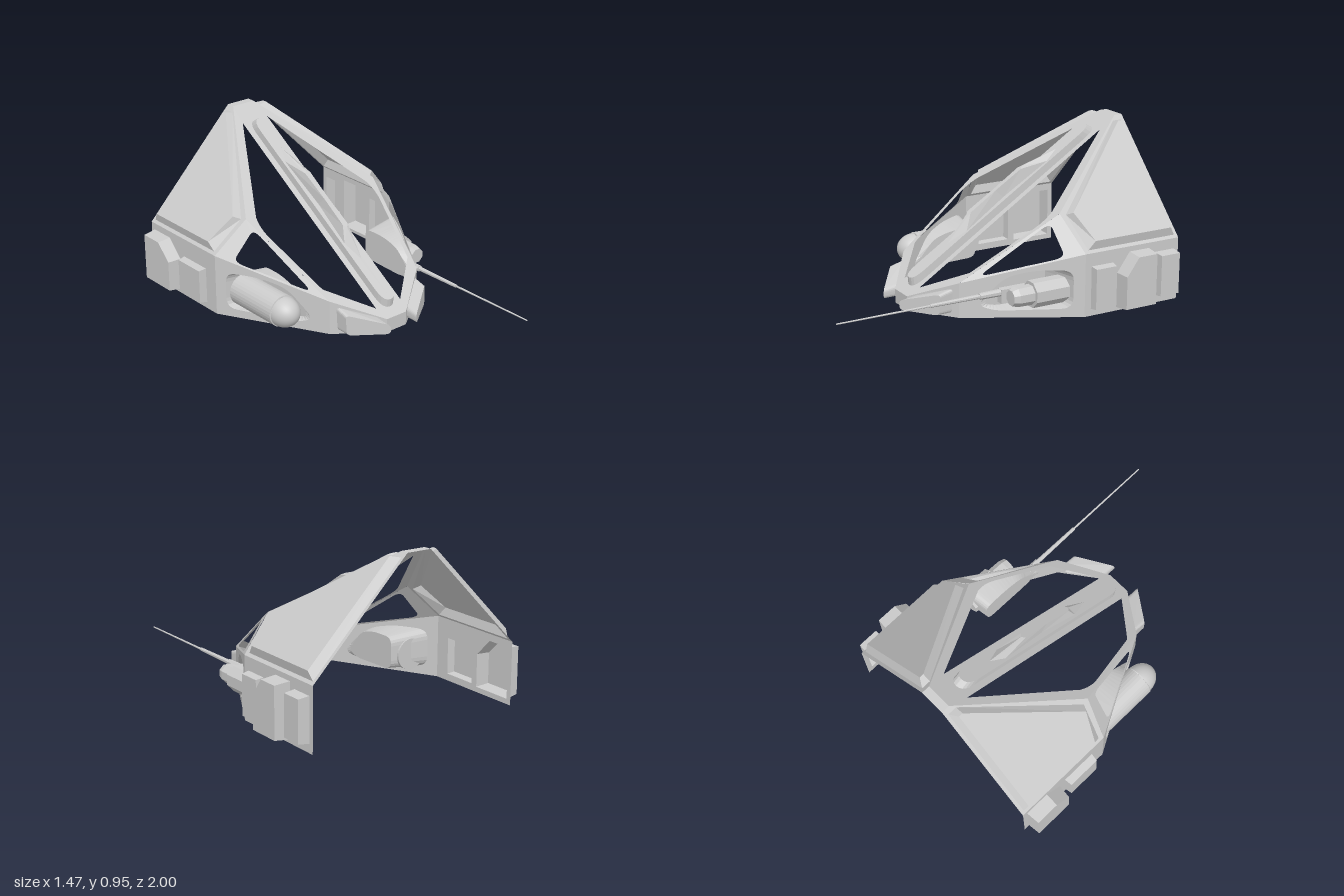
import * as THREE from 'three';

const material = new THREE.MeshStandardMaterial({ color: 0xcccccc, side: THREE.DoubleSide });
const V = (x, y, z) => new THREE.Vector3(x, y, z);

function addMesh(parent, name, geometry) {
  const mesh = new THREE.Mesh(geometry, material);
  mesh.name = name;
  parent.add(mesh);
  return mesh;
}

// Outline with every corner cut back by r and curved
function rounded(points, r, steps = 5) {
  const out = [];
  points.forEach((p, i) => {
    const c = new THREE.Vector2(...p);
    const toward = (q) => {
      const d = new THREE.Vector2(...q).sub(c);
      return c.clone().addScaledVector(d.normalize(), Math.min(r, new THREE.Vector2(...q).distanceTo(c) * 0.48));
    };
    const a = toward(points[(i + points.length - 1) % points.length]);
    const b = toward(points[(i + 1) % points.length]);
    const curve = new THREE.QuadraticBezierCurve(a, c, b);
    out.push(...curve.getPoints(steps).map((v) => [v.x, v.y]));
  });
  return out;
}

// Plane through three points, addressed by two world axes plus height along its outward normal
function facet(a, b, c, axes, side = 1) {
  const n = b.clone().sub(a).cross(c.clone().sub(a)).normalize();
  if (n.dot(a.clone().sub(V(0, 0.1, -0.4))) < 0) n.negate();
  const third = ['x', 'y', 'z'].find((k) => !axes.includes(k));
  const d = n.dot(a);
  return (p, q, h = 0) => {
    const v = V(0, 0, 0);
    v[axes[0]] = p;
    v[axes[1]] = q;
    v[third] = (d - n.dot(v)) / n[third];
    v.addScaledVector(n, h);
    v.x *= side;
    return v;
  };
}

const toVec2 = (points) => points.map((p) => new THREE.Vector2(...p));

// Flat sheet with holes lying on a facet
function sheet(parent, name, lift, outline, holes = []) {
  const shape = new THREE.Shape(toVec2(outline));
  holes.forEach((h) => shape.holes.push(new THREE.Path(toVec2(h))));
  const g = new THREE.ShapeGeometry(shape).toNonIndexed();
  const pos = g.attributes.position;
  for (let i = 0; i < pos.count; i++) pos.setXYZ(i, ...lift(pos.getX(i), pos.getY(i)).toArray());
  g.computeVertexNormals();
  return addMesh(parent, name, g);
}

// Walls between two matching loops, closed by a cap on the second
function boss(parent, name, outline, base, top) {
  const pts = [];
  const n = base.length;
  for (let i = 0; i < n; i++) {
    const j = (i + 1) % n;
    pts.push(base[i], base[j], top[j], base[i], top[j], top[i]);
  }
  THREE.ShapeUtils.triangulateShape(toVec2(outline), []).forEach((t) => t.forEach((i) => pts.push(top[i])));
  const g = new THREE.BufferGeometry().setFromPoints(pts);
  g.computeVertexNormals();
  return addMesh(parent, name, g);
}

// Raised block on a facet, its top scaled about its middle
function block(parent, name, lift, outline, h, scale = 0.94) {
  const mid = [0, 1].map((k) => outline.reduce((s, p) => s + p[k], 0) / outline.length);
  const top = outline.map((p) => lift(...p.map((v, k) => mid[k] + (v - mid[k]) * scale), h));
  return boss(parent, name, outline, outline.map((p) => lift(...p)), top);
}

const rect = (z0, z1, y0, y1) => [[z0, y0], [z1, y0], [z1, y1], [z0, y1]];
const mirrored = (pts) => pts.map(([x, y]) => [-x, y]);

export function createModel() {
  const model = new THREE.Group();
  model.name = 'cockpitFrame';
  const frame = new THREE.Group();
  frame.name = 'frame';
  frame.position.x = -0.007;
  model.add(frame);

  // Corner points of the left half
  const A = V(0.075, 0.95, -0.95), A2 = V(0.075, 0.95, -1);
  const P = V(0.47, 0.55, -0.325), C = V(0.652, 0.36, -0.38);
  const J = V(0.325, 0.2, 0.222), N = V(0.07, 0.08, 0.41);

  // Sloping front with two large windows
  const front = facet(V(0, 0.95, -0.95), V(1, 0.95, -0.95), V(0, 0.08, 0.41), ['x', 'y']);
  const half = [N, J, P, A].map((v) => [v.x, v.y]);
  const windowHole = [[0.09, 0.125], ...rounded([[0.308, 0.225], [0.425, 0.5], [0.395, 0.57]], 0.04).slice(3, -3), [0.09, 0.88]];
  const bar = rounded([[-0.052, 0.115], [0.052, 0.115], [0.052, 0.878], [-0.052, 0.878]], 0.05);
  sheet(frame, 'frontFrame', front, [...half, ...mirrored(half).reverse()], [windowHole, mirrored(windowHole), bar]);

  // Raised spine with a waisted fin on it
  block(frame, 'spineBar', front, bar, 0.042, 0.97);
  const fin = [[0, 0.28], [0.035, 0.35], [0.02, 0.51], [0.035, 0.69], [0, 0.745], [-0.035, 0.69], [-0.02, 0.51], [-0.035, 0.35]];
  const finTop = [[0, 0.385], [0.018, 0.395], [0.014, 0.5], [0.018, 0.605], [0, 0.615], [-0.018, 0.605], [-0.014, 0.5], [-0.018, 0.395]];
  boss(frame, 'spineFin', fin, fin.map((p) => front(...p, 0.04)), finTop.map((p) => front(...p, 0.105)));

  // Nose and top cap
  sheet(frame, 'nose', (x, y) => V(x, y, 0.41), [[-0.07, 0], [0.07, 0], [0.07, 0.08], [-0.07, 0.08]]);
  sheet(frame, 'topCap', (x, z) => V(x, 0.95, z), [[-0.075, -1], [0.075, -1], [0.075, -0.95], [-0.075, -0.95]]);

  // Equipment boxes on each rear wall, as outline and height
  const boxes = {
    1: [
      [rect(-0.56, -0.42, 0.04, 0.285), 0.045],
      [[[-0.8, 0.02], [-0.59, 0.02], [-0.59, 0.22], [-0.67, 0.33], [-0.8, 0.33]], 0.09],
      [rect(-0.97, -0.84, 0.05, 0.3), 0.065],
    ],
    '-1': [
      [rect(-0.68, -0.47, 0.04, 0.25), 0.045],
      [[[-0.97, 0.03], [-0.72, 0.03], [-0.72, 0.22], [-0.82, 0.32], [-0.97, 0.32]], 0.08],
    ],
  };

  for (const s of [1, -1]) {
    const side = new THREE.Group();
    side.name = s > 0 ? 'leftSide' : 'rightSide';
    frame.add(side);

    // Roof with a bevelled, hollow raised panel
    const roof = facet(A, A2, C, ['z', 'y'], s);
    const panel = [[-0.405, 0.375], [-0.98, 0.375], [-0.98, 0.925], [-0.925, 0.925], [-0.362, 0.54]];
    const panelTop = [[-0.445, 0.395], [-0.95, 0.395], [-0.95, 0.905], [-0.925, 0.905], [-0.385, 0.53]];
    sheet(side, 'roof', roof, [A, A2, V(0, 0.36, -1), C, P].map((v) => [v.z, v.y]), [panel]);
    boss(side, 'roofPanel', panel, panel.map((p) => roof(...p)), panelTop.map((p) => roof(...p, 0.042)));

    // Small three-cornered side window
    const corner = facet(P, C, J, ['x', 'y'], s);
    const opening = rounded([[0.462, 0.505], [0.595, 0.342], [0.368, 0.234]], 0.035);
    sheet(side, 'sideWindowFrame', corner, [P, C, J].map((v) => [v.x, v.y]), [opening]);

    // Slanted wall with a pocket sunk into it
    const wall = facet(J, C, V(J.x, 0, J.z), ['z', 'y'], s);
    const pocket = rounded([[0.14, 0.075], [0, 0.235], [-0.14, 0.27], [-0.325, 0.27], [-0.325, 0.05], [0.05, 0.04]], 0.06);
    sheet(side, 'slantedWall', wall, [[J.z, 0], [C.z, 0], [C.z, C.y], [J.z, J.y]], [pocket]);
    boss(side, 'pocket', pocket, pocket.map((p) => wall(...p)),
      pocket.map(([z, y]) => V(0.385 * s, 0.15 + (y - 0.15) * 0.85, -0.09 + (z + 0.09) * 0.86)));

    // Nose-side wall with a block pushed forward
    const cheek = facet(N, J, V(N.x, 0, N.z), ['x', 'y'], s);
    const lamp = rounded([[0.095, 0.02], [0.29, 0.02], [0.295, 0.165], [0.095, 0.085]], 0.025);
    sheet(side, 'noseWall', cheek, [[N.x, 0], [J.x, 0], [J.x, J.y], [N.x, N.y]], [lamp]);
    boss(side, 'noseBlock', lamp, lamp.map((p) => cheek(...p)),
      lamp.map(([x, y]) => cheek(x, 0.02 + (y - 0.02) * 0.85).add(V(0, 0, 0.078))));

    // Rear wall with its hollow boxes
    const rear = facet(C, V(C.x, 0, -0.38), V(C.x, 0, -1), ['z', 'y'], s);
    sheet(side, 'rearWall', rear, [[-0.38, 0], [-1, 0], [-1, C.y], [-0.38, C.y]], boxes[s].map((b) => b[0]));
    boxes[s].forEach(([outline, h]) => block(side, 'equipmentBox', rear, outline, h));
  }

  // Round-nosed pod in the right pocket
  const podProfile = [[0, -0.31], [0.092, -0.31], [0.092, 0.05], [0.085, 0.052]].map((p) => new THREE.Vector2(...p));
  const pod = addMesh(model, 'podBody', new THREE.LatheGeometry(podProfile, 32).toNonIndexed());
  pod.geometry.computeVertexNormals();
  const dome = addMesh(model, 'podDome', new THREE.SphereGeometry(0.087, 32, 16, 0, Math.PI * 2, 0, Math.PI / 2));
  pod.position.set(-0.522, 0.14, 0);
  dome.position.set(-0.522, 0.14, 0.055);
  dome.scale.y = 1.2;
  for (const m of [pod, dome]) m.rotation.x = Math.PI / 2;

  // Tube along z with the given sides, from back to front
  const rod = (name, x, y, z0, z1, r0, r1, sides) => {
    const g = new THREE.CylinderGeometry(r1, r0, z1 - z0, sides).rotateY(Math.PI / sides).rotateX(Math.PI / 2).translate(x, y, (z0 + z1) / 2);
    const flat = g.toNonIndexed();
    flat.computeVertexNormals();
    return addMesh(model, name, flat);
  };

  // Eight-sided launcher in the left pocket
  rod('launcherBody', 0.515, 0.14, -0.32, -0.11, 0.077, 0.077, 8);
  rod('launcherNeck', 0.515, 0.14, -0.11, -0.02, 0.058, 0.056, 8);
  rod('launcherMuzzle', 0.515, 0.14, -0.02, 0.015, 0.056, 0.045, 8);

  // Long thin barrel beside it
  const mount = addMesh(model, 'barrelMount', new THREE.BoxGeometry(0.042, 0.08, 0.2));
  mount.position.set(0.41, 0.12, -0.08);
  rod('barrelSleeve', 0.41, 0.14, -0.02, 0.15, 0.022, 0.018, 8);
  rod('barrelMiddle', 0.41, 0.14, 0.15, 0.45, 0.013, 0.01, 8);
  rod('barrelTip', 0.41, 0.14, 0.45, 1, 0.006, 0.004, 8);

  return model;
}
